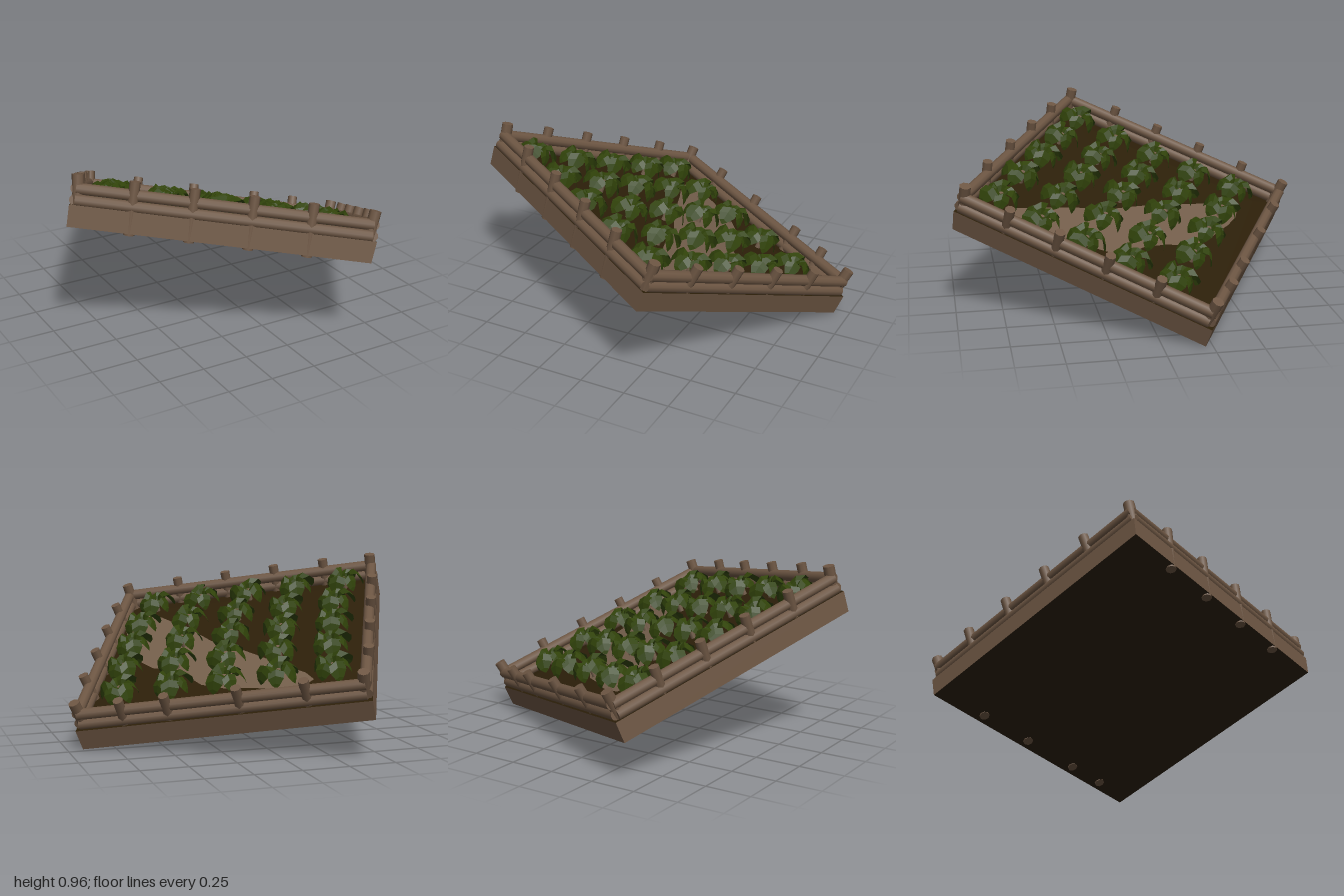
import * as THREE from 'three';
import { mergeGeometries } from 'three/addons/utils/BufferGeometryUtils.js';

const W = 1.535, D = 1.438, WALL = 0.112, SOIL = 0.13;

function material(name, color, extra = {}) {
  const m = new THREE.MeshStandardMaterial({ color, ...extra });
  m.name = name;
  return m;
}

// One arching leaf: cross-sections of [reach, height, half width], folded along the midrib
function leafGeometry() {
  const sections = [
    [0.012, 0.045, 0.008], [0.034, 0.094, 0.026], [0.062, 0.11, 0.046],
    [0.086, 0.082, 0.046], [0.1, 0.04, 0.024], [0.102, 0.012, 0.003],
  ];
  const pos = [], index = [];
  sections.forEach(([r, y, w], i) => {
    const sweep = r * r * 2;
    pos.push(r - w * 0.1, y - w * 0.5, sweep - w, r, y, sweep, r + w * 0.15, y - w * 0.3, sweep + w);
    if (i === 0) return;
    for (let k = 0; k < 2; k++) {
      const a = (i - 1) * 3 + k, b = i * 3 + k;
      index.push(a, a + 1, b, a + 1, b + 1, b);
    }
  });
  const g = new THREE.BufferGeometry();
  g.setAttribute('position', new THREE.Float32BufferAttribute(pos, 3));
  g.setIndex(index);
  const flat = g.toNonIndexed();
  flat.computeVertexNormals();
  return flat;
}

// Whole rosette of leaves, alternating in size
function rosetteGeometry() {
  const leaves = [];
  for (let i = 0; i < 6; i++) {
    const s = i % 2 ? 0.9 : 1.03;
    leaves.push(leafGeometry().scale(s, s, s).rotateY((i / 6) * Math.PI * 2));
  }
  return mergeGeometries(leaves);
}

export function createModel() {
  const wood = material('wood', 0x6d5643);
  const soil = material('soil', 0x2c1f09);
  const path = material('path', 0x735e4b, { side: THREE.DoubleSide });
  const leaf = material('leaf', 0x31430a, { side: THREE.DoubleSide });

  const bed = new THREE.Group();
  bed.name = 'gardenBed';
  const add = (name, geometry, mat, x = 0, y = 0, z = 0, parent = bed) => {
    const m = new THREE.Mesh(geometry, mat);
    m.name = name;
    m.position.set(x, y, z);
    parent.add(m);
    return m;
  };

  // Round log between two points
  const log = (name, a, b, radius, sides) => {
    const from = new THREE.Vector3(...a), to = new THREE.Vector3(...b);
    const dir = to.clone().sub(from);
    const mid = from.add(to).multiplyScalar(0.5);
    const m = add(name, new THREE.CylinderGeometry(radius, radius, dir.length(), sides), wood, mid.x, mid.y, mid.z);
    m.quaternion.setFromUnitVectors(new THREE.Vector3(0, 1, 0), dir.normalize());
  };

  // Base: timber sides, earth on top and underneath; front and left walls flare a little
  const base = new THREE.BoxGeometry(W, WALL, D);
  const p = base.attributes.position;
  for (let i = 0; i < p.count; i++) {
    if (p.getY(i) < 0) continue;
    if (p.getX(i) > 0) p.setX(i, p.getX(i) + 0.012);
    if (p.getZ(i) > 0) p.setZ(i, p.getZ(i) + 0.016);
  }
  base.computeVertexNormals();
  add('base', base, [wood, wood, soil, soil, wood, wood], 0, WALL / 2, 0);

  // Soil mound with sloping borders
  const mound = new THREE.CylinderGeometry(0.62 * Math.SQRT2, 0.73 * Math.SQRT2, SOIL - WALL, 4)
    .rotateY(Math.PI / 4).scale(1, 1, 0.94).toNonIndexed();
  mound.computeVertexNormals();
  add('soilMound', mound, soil, 0.005, (SOIL + WALL) / 2, 0.01);

  // Fence: two log rails per side
  const x0 = -0.742, x1 = 0.756, z0 = -0.69, z1 = 0.716;
  for (const y of [0.137, 0.195]) {
    for (const z of [z0, z1]) log('longRail', [x0, y, z], [x1, y, z], 0.03, 10);
    for (const x of [x0, x1]) log('shortRail', [x, y, z0], [x, y, z1], 0.03, 10);
  }

  // Fence posts, leaning outward and standing proud of the rails
  const post = (x, z, dx, dz, foot) =>
    log('fencePost', [x - dx * 0.025, foot, z - dz * 0.025], [x + dx * 0.02, 0.264, z + dz * 0.02], 0.028, 8);
  const lerp = THREE.MathUtils.lerp;
  for (const t of [0.19, 0.39, 0.59, 0.79]) {
    post(lerp(x0, x1, t), z1, 0, 1, -0.006);
    post(x0, lerp(z0, z1, t), -1, 0, 0.01);
    post(x1, lerp(z0, z1, t + 0.02), 1, 0, 0.01);
  }
  for (const t of [0.2, 0.43, 0.68, 0.84]) post(lerp(x0, x1, t), z0, 0, -1, -0.006);
  for (const x of [x0, x1]) {
    for (const z of [z0, z1]) {
      log('cornerPost', [x - Math.sign(x) * 0.03, 0.01, z - Math.sign(z) * 0.03], [x, 0.266, z], 0.031, 8);
    }
  }

  // Tilted frame of the whole bed
  const ex = new THREE.Vector3(0.867, -0.138, 0.479).normalize();
  const up = new THREE.Vector3(0.282, 0.928, -0.2425);
  up.addScaledVector(ex, -up.dot(ex)).normalize();
  const ez = new THREE.Vector3().crossVectors(ex, up);

  // Worn path winding over the soil, outlined in plan and carried into the bed's frame
  const det = ex.x * ez.z - ez.x * ex.z;
  const outline = [
    [-0.21, -0.63], [-0.2, -0.54], [-0.13, -0.38], [-0.07, -0.22], [0, -0.05], [0.1, 0.15],
    [0.15, 0.35], [0.21, 0.52], [0.27, 0.69], [0.38, 0.77], [0.47, 0.68], [0.49, 0.5], [0.48, 0.33],
    [0.5, 0.2], [0.46, 0.08], [0.39, 0], [0.33, -0.13], [0.29, -0.28], [0.2, -0.4], [0.12, -0.46],
    [0.02, -0.55], [-0.08, -0.62], [-0.16, -0.65],
  ].map(([x, z]) => {
    x += 0.006;
    z += 0.006;
    return new THREE.Vector2((x * ez.z - z * ez.x) / det, -(ex.x * z - ex.z * x) / det);
  });
  add('path', new THREE.ShapeGeometry(new THREE.Shape(outline)).rotateX(-Math.PI / 2), path, 0, SOIL + 0.004, 0);

  // Five rows of five leafy plants, the middle rows slightly staggered
  const rosette = rosetteGeometry();
  const stemGeo = new THREE.CylinderGeometry(0.013, 0.016, 0.07, 6);
  const stagger = [0.005, 0.03, 0.032, 0.032, -0.008];
  for (let r = 0; r < 5; r++) {
    for (let c = 0; c < 5; c++) {
      const plant = new THREE.Group();
      plant.name = 'plant';
      plant.position.set(stagger[r] + (c - 2) * 0.287, SOIL, 0.066 + (r - 2) * 0.257);
      plant.rotation.y = r * 1.9 + c * 2.7;
      add('leaves', rosette, leaf, 0, 0, 0, plant);
      add('stem', stemGeo, path, 0, 0.035, 0, plant);
      bed.add(plant);
    }
  }

  bed.quaternion.setFromRotationMatrix(new THREE.Matrix4().makeBasis(ex, up, ez));
  bed.position.set(-0.0425, 0.362, 0.026);

  const model = new THREE.Group();
  model.name = 'tiltedGardenBed';
  model.add(bed);
  return model;
}
